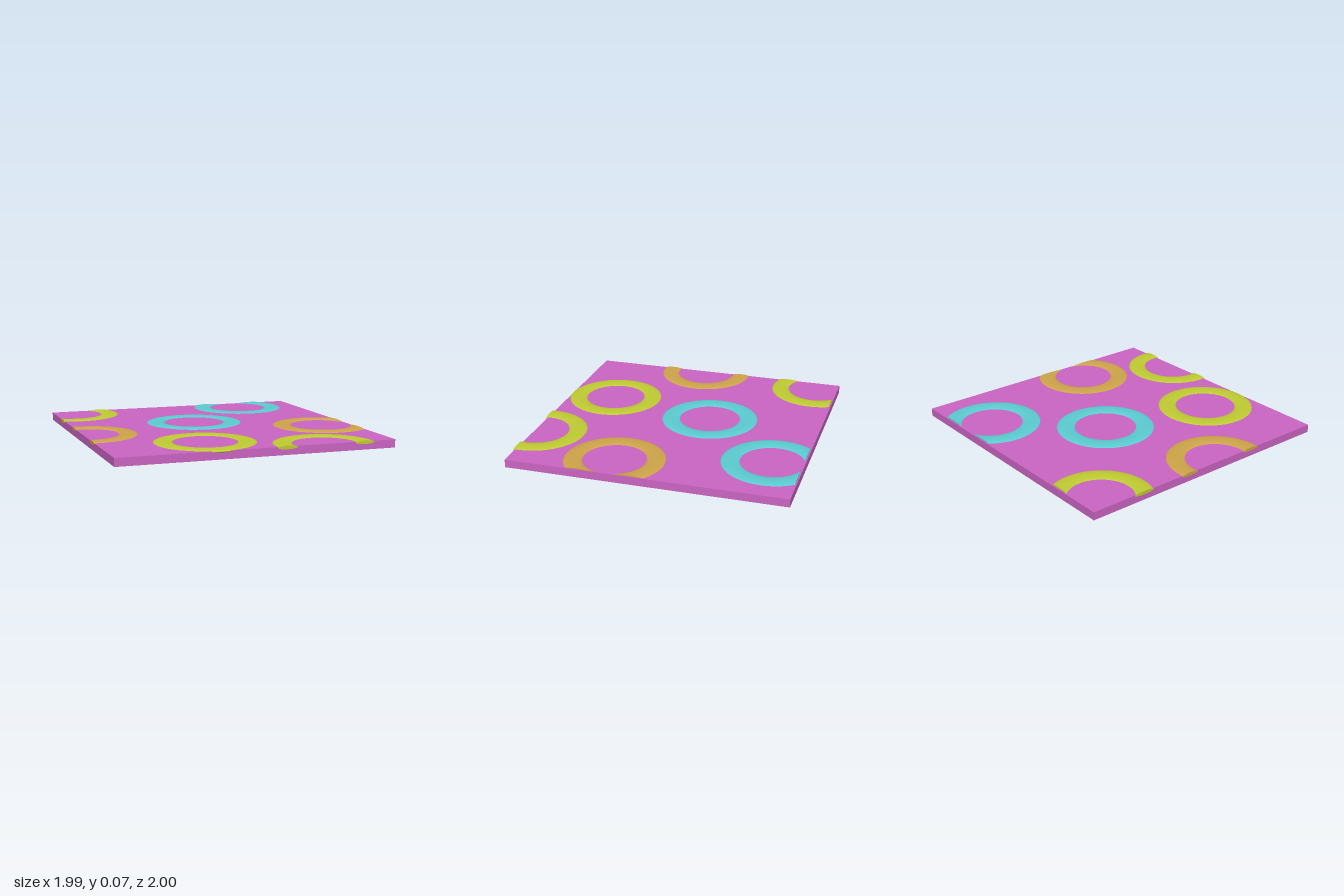
import * as THREE from 'three';

// Ring tube: centre-line radius, half width, half height, centre height
const R = 0.288, A = 0.07, B = 0.0125, YC = 0.053;
const TUBE = 24, ARC = 72;

// Edges the rings are trimmed to; phi is the direction of the edge
// as an angle in the ground plane (0 = +x, PI/2 = +z)
const EDGES = {
  right: { phi: 0, dist: (x, z) => 0.988 - x },
  front: { phi: Math.PI / 2, dist: (x, z) => 1.0 - z },
  left: { phi: Math.PI, dist: (x, z) => x + 0.994 },
  back: { phi: Math.PI * 1.5, dist: (x, z) => z + 0.99 },
};

function createRing({ name, x, z, color, start, end = start }) {
  const first = EDGES[start], last = EDGES[end];
  const trim = (edge, r) => (edge ? Math.acos(Math.min(1, edge.dist(x, z) / r)) : 0);
  const phi0 = first ? first.phi : 0;
  let phi1 = last ? last.phi : 0;
  if (phi1 <= phi0) phi1 += Math.PI * 2;

  // Every profile point sweeps its own arc between the trimmed ends
  const positions = [], normals = [], index = [];
  for (let i = 0; i <= TUBE; i++) {
    const p = (i / TUBE) * Math.PI * 2;
    const r = R + A * Math.cos(p), y = YC + B * Math.sin(p);
    const n = new THREE.Vector2(Math.cos(p) / A, Math.sin(p) / B).normalize();
    const t0 = phi0 + trim(first, r), t1 = phi1 - trim(last, r);
    for (let j = 0; j <= ARC; j++) {
      const t = t0 + ((t1 - t0) * j) / ARC;
      const c = Math.cos(t), s = Math.sin(t);
      positions.push(x + r * c, y, z + r * s);
      normals.push(n.x * c, n.y, n.x * s);
      if (i < TUBE && j < ARC) {
        const a = i * (ARC + 1) + j, b = a + ARC + 1;
        index.push(a, b, a + 1, b, b + 1, a + 1);
      }
    }
  }
  const body = new THREE.BufferGeometry();
  body.setAttribute('position', new THREE.Float32BufferAttribute(positions, 3));
  body.setAttribute('normal', new THREE.Float32BufferAttribute(normals, 3));
  body.setIndex(index);

  const group = new THREE.Group();
  group.name = name;
  const material = new THREE.MeshStandardMaterial({ color });
  const tube = new THREE.Mesh(body, material);
  tube.name = 'ringTube';
  group.add(tube);

  // Flat caps where the ring is trimmed
  if (first) {
    const capPoints = [];
    const at = (i, j) => new THREE.Vector3().fromArray(positions, (i * (ARC + 1) + j) * 3);
    for (const j of [0, ARC]) {
      const centre = at(0, j).add(at(TUBE / 2, j)).multiplyScalar(0.5);
      for (let i = 0; i < TUBE; i++) {
        const pair = j === 0 ? [at(i + 1, j), at(i, j)] : [at(i, j), at(i + 1, j)];
        for (const v of [centre, ...pair]) capPoints.push(v.x, v.y, v.z);
      }
    }
    const capGeometry = new THREE.BufferGeometry();
    capGeometry.setAttribute('position', new THREE.Float32BufferAttribute(capPoints, 3));
    capGeometry.computeVertexNormals();
    const capMaterial = new THREE.MeshStandardMaterial({ color, side: THREE.DoubleSide });
    const caps = new THREE.Mesh(capGeometry, capMaterial);
    caps.name = 'ringCaps';
    group.add(caps);
  }
  return group;
}

export function createModel() {
  const model = new THREE.Group();
  model.name = 'ringTile';

  // Base slab
  const slabHeight = 0.0575;
  const slab = new THREE.Mesh(
    new THREE.BoxGeometry(1.985, slabHeight, 1.987),
    new THREE.MeshStandardMaterial({ color: 0xcc66c4 })
  );
  slab.name = 'slab';
  slab.position.set(0.001, slabHeight / 2, -0.0065);
  model.add(slab);

  // Inlaid rings, some trimmed at the slab edges
  const blue = 0x5ccdd2, orange = 0xcfa54a, yellow = 0xc0cc33;
  const rings = [
    { name: 'centreBlueRing', x: -0.075, z: -0.176, color: blue },
    { name: 'backBlueRing', x: 0.505, z: -0.777, color: blue, start: 'back' },
    { name: 'cornerYellowRing', x: -0.862, z: -0.841, color: yellow, start: 'back', end: 'left' },
    { name: 'rightOrangeRing', x: -0.958, z: 0.099, color: orange, start: 'left' },
    { name: 'leftOrangeRing', x: 0.769, z: 0.268, color: orange, start: 'right' },
    { name: 'frontYellowRing', x: -0.269, z: 0.638, color: yellow },
    { name: 'trimmedYellowRing', x: 0.472, z: 0.964, color: yellow, start: 'front' },
  ];
  for (const ring of rings) model.add(createRing(ring));
  return model;
}
